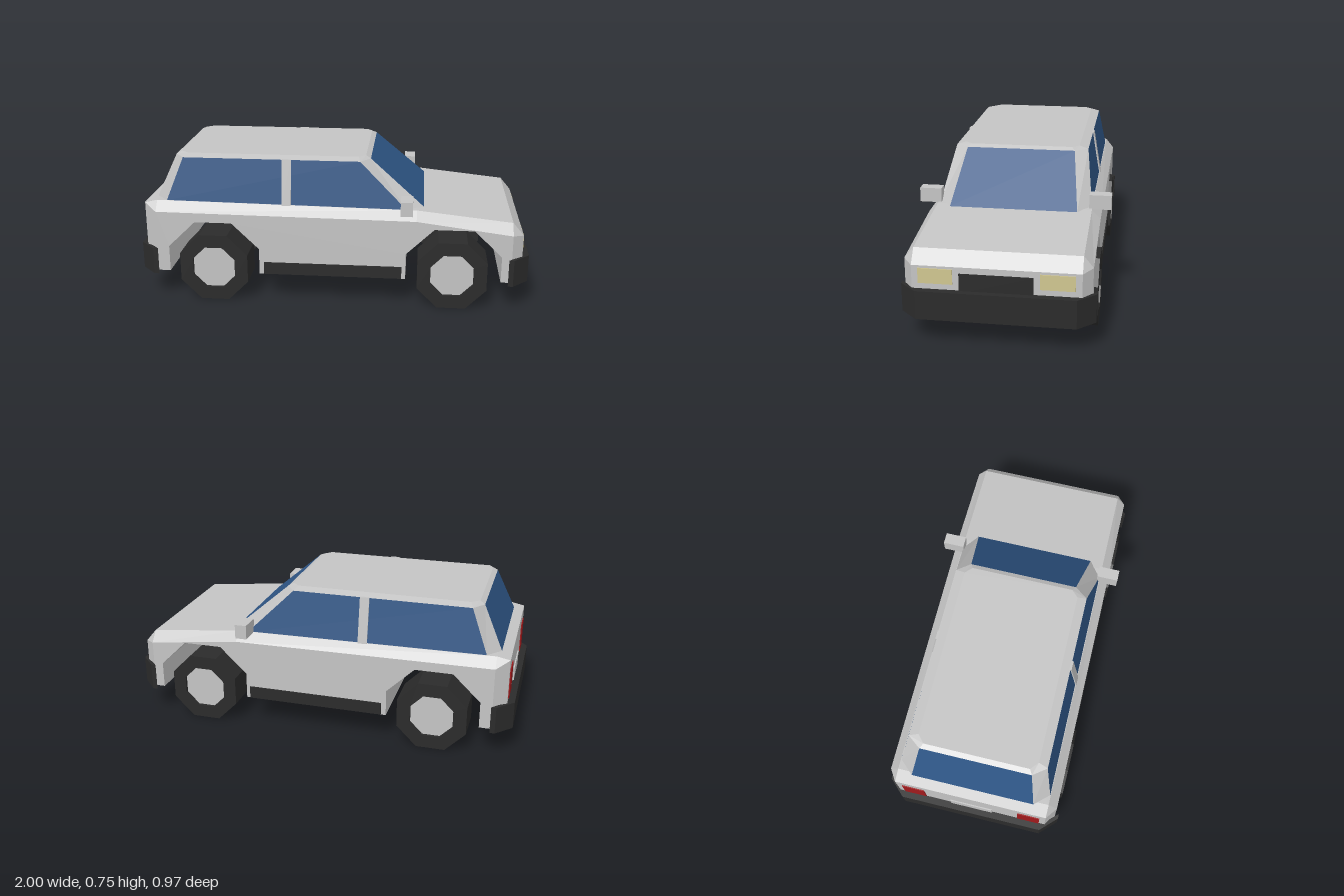
import * as THREE from 'three';

const mat = (name, color, side = THREE.FrontSide) => {
  const m = new THREE.MeshStandardMaterial({ color, side });
  m.name = name;
  return m;
};

export function createModel() {
  const car = new THREE.Group();
  car.name = 'car';
  const paint = mat('silver paint', 0xc4c4c4);
  const black = mat('black trim', 0x2b2b2b);
  const glass = mat('blue glass', 0x2e5585);
  const lamp = mat('headlight cream', 0xd0c690);
  const red = mat('taillight red', 0xa01a1c);

  const add = (name, geo, material, parent = car) => {
    const mesh = new THREE.Mesh(geo, material);
    mesh.name = name;
    parent.add(mesh);
    return mesh;
  };
  // box given by its limits
  const box = (name, material, x0, x1, y0, y1, z0, z1) => {
    const g = new THREE.BoxGeometry(x1 - x0, y1 - y0, z1 - z0);
    g.translate((x0 + x1) / 2, (y0 + y1) / 2, (z0 + z1) / 2);
    return add(name, g, material);
  };
  // box whose corners are placed by a rule of their signs
  const warpBox = (name, material, rule) => {
    const g = new THREE.BoxGeometry(2, 2, 2).toNonIndexed();
    const p = g.attributes.position;
    for (let i = 0; i < p.count; i++) p.setXYZ(i, ...rule(p.getX(i), p.getY(i), p.getZ(i)));
    g.computeVertexNormals();
    return add(name, g, material);
  };
  // flat-shaded faces from polygons, each split as a fan
  const faces = (name, material, polys) => {
    const v = [];
    for (const q of polys)
      for (let k = 1; k < q.length - 1; k++) v.push(...q[0], ...q[k], ...q[k + 1]);
    const g = new THREE.BufferGeometry();
    g.setAttribute('position', new THREE.Float32BufferAttribute(v, 3));
    g.computeVertexNormals();
    return add(name, g, material);
  };
  const polygon = (pts) => new THREE.Shape(pts.map(([x, y]) => new THREE.Vector2(x, y)));

  // lower body with wheel arches running through
  const W = 0.435, N = 0.39, floor = 0.145;
  const body = new THREE.ExtrudeGeometry(polygon([
    [-0.9, floor], [-0.84, floor], [-0.84, 0.28], [-0.7, 0.415], [-0.51, 0.415], [-0.37, 0.28], [-0.37, floor],
    [0.38, floor], [0.38, 0.28], [0.52, 0.415], [0.72, 0.415], [0.86, 0.28], [0.86, floor], [0.91, floor],
    [0.91, 0.395], [0.43, 0.455], [-0.9, 0.465],
  ]), { depth: 2 * W, bevelEnabled: false });
  add('lowerBody', body.translate(0, 0, -W), paint);

  // nose and tail with chamfered corners
  warpBox('nose', paint, (x, y, z) => x > 0
    ? [0.965, y > 0 ? 0.385 : floor, z * N] : [0.91, y > 0 ? 0.395 : floor, z * W]);
  warpBox('tail', paint, (x, y, z) => x < 0
    ? [-0.965, y > 0 ? 0.5 : floor, z * N] : [-0.9, y > 0 ? 0.465 : floor, z * W]);

  // shoulders, bonnet and deck: x, shoulder y, shoulder z, upper y
  const ribs = [
    [-0.965, 0.5, N, 0.502], [-0.9, 0.465, W, 0.515], [0.43, 0.455, W, 0.5],
    [0.91, 0.395, W, 0.45], [0.965, 0.385, N, 0.385],
  ].map(([x, sy, sz, uy]) => [[x, sy, sz], [x, uy, N], [x, uy, -N], [x, sy, -sz]]);
  const deck = [];
  for (let i = 0; i < ribs.length - 1; i++)
    for (let j = 0; j < 3; j++)
      deck.push([ribs[i][j], ribs[i + 1][j], ribs[i + 1][j + 1], ribs[i][j + 1]]);
  faces('bonnetAndShoulders', paint, deck);

  // cabin from eight-sided rings
  const ring = (xf, zf, xsf, zs, xsr, xr, zr, y) => [
    [xf, zf], [xf, -zf], [xsf, -zs], [xsr, -zs], [xr, -zr], [xr, zr], [xsr, zs], [xsf, zs],
  ].map(([x, z]) => [x, y(x), z]);
  const base = ring(0.465, 0.32, 0.38, 0.387, -0.85, -0.915, 0.315, (x) => 0.503 - 0.013 * x);
  const eave = ring(0.19, 0.28, 0.14, 0.347, -0.765, -0.815, 0.28, () => 0.733);
  const roof = ring(0.165, 0.265, 0.13, 0.3, -0.75, -0.79, 0.265, () => 0.746);
  const wall = (a, b, k) => [a[k], a[(k + 1) % 8], b[(k + 1) % 8], b[k]];
  const all = [0, 1, 2, 3, 4, 5, 6, 7];
  faces('roof', paint, [roof, ...all.map((k) => wall(eave, roof, k))]);
  faces('cornerPillars', paint, [1, 3, 5, 7].map((k) => wall(base, eave, k)));
  ['windscreen', 'rightOrLeftWindow', 'rearWindow', 'sideWindow'].forEach((_, i) => {
    const names = ['windscreen', 'farSideWindow', 'rearWindow', 'nearSideWindow'];
    faces(names[i], glass, [wall(base, eave, 2 * i)]);
  });

  // details repeated on both sides
  for (const s of [1, -1]) {
    const side = (name, material, x0, x1, y0, y1, z0, z1) =>
      box(name, material, x0, x1, y0, y1, Math.min(s * z0, s * z1), Math.max(s * z0, s * z1));
    warpBox('doorPillar', paint, (x, y, z) =>
      [-0.232 + 0.024 * x, y > 0 ? 0.735 : 0.5, s * (y > 0 ? 0.347 : 0.388) + 0.006 * z]);
    side('doorMirror', paint, 0.35, 0.41, 0.497, 0.57, 0.375, 0.485);
    side('sill', black, -0.345, 0.36, 0.147, 0.21, 0.433, 0.441);
    side('headlight', lamp, 0.963, 0.97, 0.3, 0.373, 0.2, 0.36);
    side('taillight', red, -0.97, -0.963, 0.285, 0.44, 0.245, 0.36);
  }
  box('grille', black, 0.963, 0.971, 0.26, 0.355, -0.17, 0.17);
  box('rearPlate', paint, -0.971, -0.963, 0.26, 0.345, -0.11, 0.11);

  // bumpers wrapping the corners
  const plan = polygon([[0.895, -0.453], [0.92, -0.453], [1, -0.37], [1, 0.37], [0.92, 0.453], [0.895, 0.453],
    [0.96, 0.38], [0.96, -0.38]]);
  for (const [name, turn] of [['frontBumper', 0], ['rearBumper', Math.PI]]) {
    const g = new THREE.ExtrudeGeometry(plan, { depth: 0.14, bevelEnabled: false });
    g.rotateX(-Math.PI / 2).translate(0, 0.132, 0).rotateY(turn);
    add(name, g, black);
  }

  // eight-sided wheels with a recessed hub
  const octagon = (r, C) => {
    const shape = new C();
    const pts = all.map((k) => {
      const a = (k + 0.5) * Math.PI / 4;
      return new THREE.Vector2(r * Math.cos(a), r * Math.sin(a));
    });
    return shape.setFromPoints(pts.concat(pts[0].clone()));
  };
  const tyreShape = octagon(0.19, THREE.Shape);
  tyreShape.holes.push(octagon(0.117, THREE.Path));
  const tyreGeo = new THREE.ExtrudeGeometry(tyreShape, { depth: 0.19, bevelEnabled: false }).translate(0, 0, -0.095);
  const disc = (z0, z1) => new THREE.ExtrudeGeometry(octagon(0.117, THREE.Shape),
    { depth: z1 - z0, bevelEnabled: false }).translate(0, 0, z0);
  for (const [x, end] of [[0.615, 'front'], [-0.605, 'rear']])
    for (const s of [1, -1]) {
      const wheel = new THREE.Group();
      wheel.name = end + (s > 0 ? 'RightWheel' : 'LeftWheel');
      add('tyre', tyreGeo, black, wheel);
      add('hub', disc(0.03, 0.08), paint, wheel);
      add('innerDisc', disc(-0.095, -0.05), black, wheel);
      wheel.position.set(x, 0.1755, s * 0.355);
      if (s < 0) wheel.rotation.y = Math.PI;
      car.add(wheel);
    }
  return car;
}
